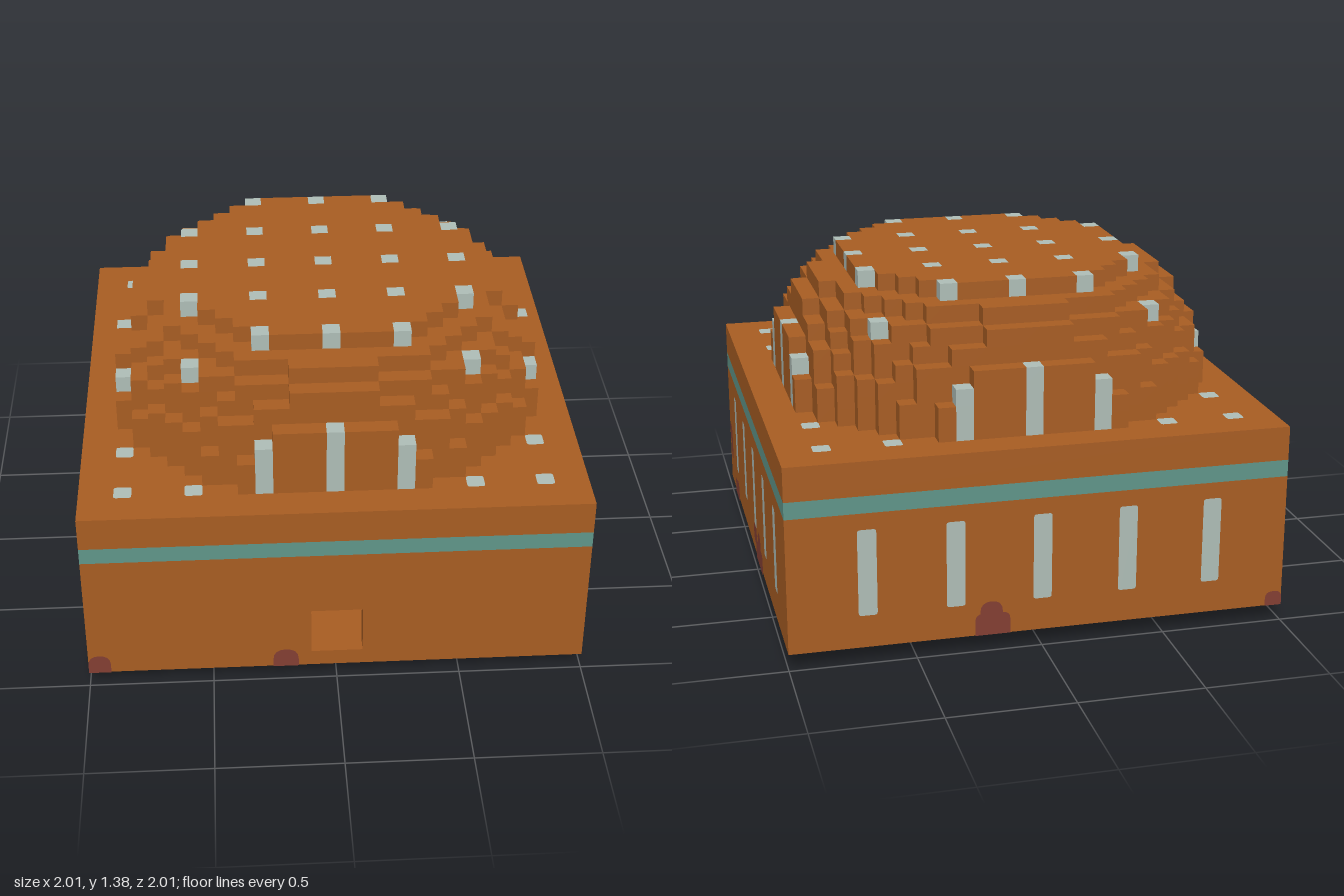
import * as THREE from 'three';
import { mergeGeometries } from 'three/addons/utils/BufferGeometryUtils.js';

const U = 2 / 29; // one block
const mat = (name, color) => {
  const m = new THREE.MeshStandardMaterial({ color });
  m.name = name;
  return m;
};

export function createModel() {
  const group = new THREE.Group();
  const clay = mat('clay', 0xa65c22);
  const teal = mat('teal', 0x5f9488);
  const pale = mat('pale stone', 0xadbcb5);
  const stain = mat('dark red stain', 0x823e32);

  const add = (name, geo, material) => {
    const mesh = new THREE.Mesh(geo, material);
    mesh.name = name;
    group.add(mesh);
    return mesh;
  };
  // box given by its block limits
  const block = (name, material, x0, x1, y0, y1, z0, z1) => {
    const g = new THREE.BoxGeometry((x1 - x0) * U, (y1 - y0) * U, (z1 - z0) * U);
    g.translate((x0 + x1) / 2 * U, (y0 + y1) / 2 * U, (z0 + z1) / 2 * U);
    return add(name, g, material);
  };

  // Blocky volume: emits only exposed faces, grouped by colour
  const dirs = [[1, 0, 0], [-1, 0, 0], [0, 1, 0], [0, -1, 0], [0, 0, 1], [0, 0, -1]];
  const voxels = (name, half, layers, y0, solid, colour) => {
    const parts = new Map();
    for (let n = 0; n < layers; n++)
      for (let i = -half; i <= half; i++)
        for (let k = -half; k <= half; k++) {
          if (!solid(i, n, k)) continue;
          for (const [dx, dy, dz] of dirs) {
            if (solid(i + dx, n + dy, k + dz)) continue;
            const g = new THREE.PlaneGeometry(U, U).translate(0, 0, U / 2);
            if (dy) g.rotateX(-dy * Math.PI / 2);
            else g.rotateY(Math.atan2(dx, dz));
            g.translate(i * U, (y0 + n + 0.5) * U, k * U);
            const c = colour(i, k, dy);
            if (!parts.has(c)) parts.set(c, []);
            parts.get(c).push(g);
          }
        }
    for (const [m, list] of parts) add(name + ' ' + m.name, mergeGeometries(list), m);
  };
  // squared distance to the near corner of a block column
  const dist2 = (i, k) => {
    const a = Math.max(0, Math.abs(i) - 0.5), b = Math.max(0, Math.abs(k) - 0.5);
    return a * a + b * b;
  };
  const lattice = (i, k) => i % 4 === 0 && k % 4 === 0;

  // Stepped dome
  const r2 = [155, 155, 148, 141, 130, 114.6, 95, 70];
  voxels('dome', 12, 8, 12,
    (i, n, k) => n < 8 && (n < 0 || dist2(i, k) < r2[n]),
    (i, k) => (lattice(i, k) ? pale : clay));

  // Round foot with a hole, teal underneath
  const foul = ['5,6', '-7,4', '-6,5', '-4,-6', '-5,-6', '-5,-5', '-6,-4', '1,3', '2,3', '3,2'];
  voxels('foot', 8, 1, 0,
    (i, n, k) => n > 0 || (n === 0 && dist2(i, k) < 56.25 && dist2(i, k) >= 4),
    (i, k, dy) => {
      if (foul.includes(i + ',' + k)) return stain;
      if (dy >= 0 || dist2(i, k) >= 42.25) return clay;
      return lattice(i, k) ? pale : teal;
    });

  // Hollow body
  block('floor', clay, -14.5, 14.5, 1, 2, -14.5, 13.5);
  block('backWall', clay, -14.5, 14.5, 2, 9, -14.5, -13.5);
  for (const s of [-1, 1])
    block('sideWall', clay, s * 14 - 0.5, s * 14 + 0.5, 2, 9, -13.5, 13.5);
  block('stripe', teal, -14.5, 14.5, 9, 10, -14.5, 14.5);
  block('roof', clay, -14.5, 14.5, 10, 12, -14.5, 14.5);

  // Front wall with the door opening
  const rect = (T, x0, x1, y0, y1) => new T([[x0, y0], [x1, y0], [x1, y1], [x0, y1]]
    .map(([x, y]) => new THREE.Vector2(x * U, y * U)));
  const wall = rect(THREE.Shape, -14.5, 14.5, 1, 9);
  wall.holes.push(rect(THREE.Path, -1.5, 1.5, 2, 5));
  add('frontWall', new THREE.ExtrudeGeometry(wall, { depth: U, bevelEnabled: false })
    .translate(0, 0, 13.5 * U), clay);

  // Flat painted patch with rounded corners
  const patch = (u0, u1, v0, v1, rb, rt) => {
    const s = new THREE.Shape();
    s.moveTo(u0 + rb, v0);
    s.lineTo(u1 - rb, v0);
    s.quadraticCurveTo(u1, v0, u1, v0 + rb);
    s.lineTo(u1, v1 - rt);
    s.quadraticCurveTo(u1, v1, u1 - rt, v1);
    s.lineTo(u0 + rt, v1);
    s.quadraticCurveTo(u0, v1, u0, v1 - rt);
    s.lineTo(u0, v0 + rb);
    s.quadraticCurveTo(u0, v0, u0 + rb, v0);
    return new THREE.ShapeGeometry(s, 4);
  };
  // place a patch on a wall turned by angle about y
  const onWall = (name, geo, material, angle, lift) =>
    add(name, geo.translate(0, 0, 1 + lift).rotateY(angle), material);
  const FRONT = 0, LEFT = Math.PI / 2, BACK = Math.PI, RIGHT = -Math.PI / 2;

  // Slit windows on three walls
  for (const angle of [LEFT, BACK, RIGHT])
    for (let n = -2; n <= 2; n++) {
      const u = n * 5 * U;
      onWall('window', patch(u - 0.037, u + 0.037, 0.202, 0.555, 0.012, 0.012), pale, angle, 0.002);
    }

  // Roof studs around the dome
  for (let i = -12; i <= 12; i += 4)
    for (let k = -12; k <= 12; k += 4) {
      if (dist2(i, k) < r2[0]) continue;
      add('roofStud', patch(-0.035, 0.035, -0.035, 0.035, 0.012, 0.012)
        .rotateX(-Math.PI / 2).translate(i * U, 12 * U + 0.002, k * U), pale);
    }

  // Wall stains: wall, u0, u1, v0, v1, bottom radius, top radius
  const B = U;
  [
    [FRONT, -1, -0.91, B, 0.155, 0, 0.045],
    [FRONT, -0.257, -0.155, B, 0.155, 0, 0.05],
    [LEFT, -0.95, -0.87, 0.27, 0.36, 0.03, 0.035],
    [LEFT, -0.925, -0.865, 0.195, 0.34, 0.03, 0.03],
    [LEFT, -0.79, -0.65, B, 0.14, 0, 0.02],
    [LEFT, -0.73, -0.64, B, 0.155, 0, 0.04],
    [LEFT, -0.05, 0.05, 0.125, 0.205, 0.04, 0.02],
    [LEFT, 0.02, 0.24, B, 0.16, 0, 0.03],
    [LEFT, 0.085, 0.185, 0.1, 0.22, 0.03, 0.05],
    [BACK, -0.27, -0.13, B, 0.16, 0, 0.03],
    [BACK, -0.25, -0.16, B, 0.21, 0, 0.045],
    [BACK, 0.93, 1, B, 0.13, 0, 0.03],
    [RIGHT, -1, -0.72, B, 0.12, 0, 0.04],
    [RIGHT, -0.85, -0.72, B, 0.16, 0, 0.05],
    [RIGHT, 0.93, 1, B, 0.13, 0, 0.03],
  ].forEach(([a, ...p]) => onWall('stain', patch(...p), stain, a, 0.004));

  // Stains on the underside
  for (const [x, z, w, d] of [[0.2, -0.94, 0.07, 0.06], [0.95, -0.1, 0.05, 0.1], [-0.95, -0.9, 0.05, 0.09], [-0.95, 0.2, 0.04, 0.06]])
    add('undersideStain', patch(-w, w, -d, d, 0.04, 0.04)
      .rotateX(Math.PI / 2).translate(x, U - 0.002, z), stain);

  return group;
}
